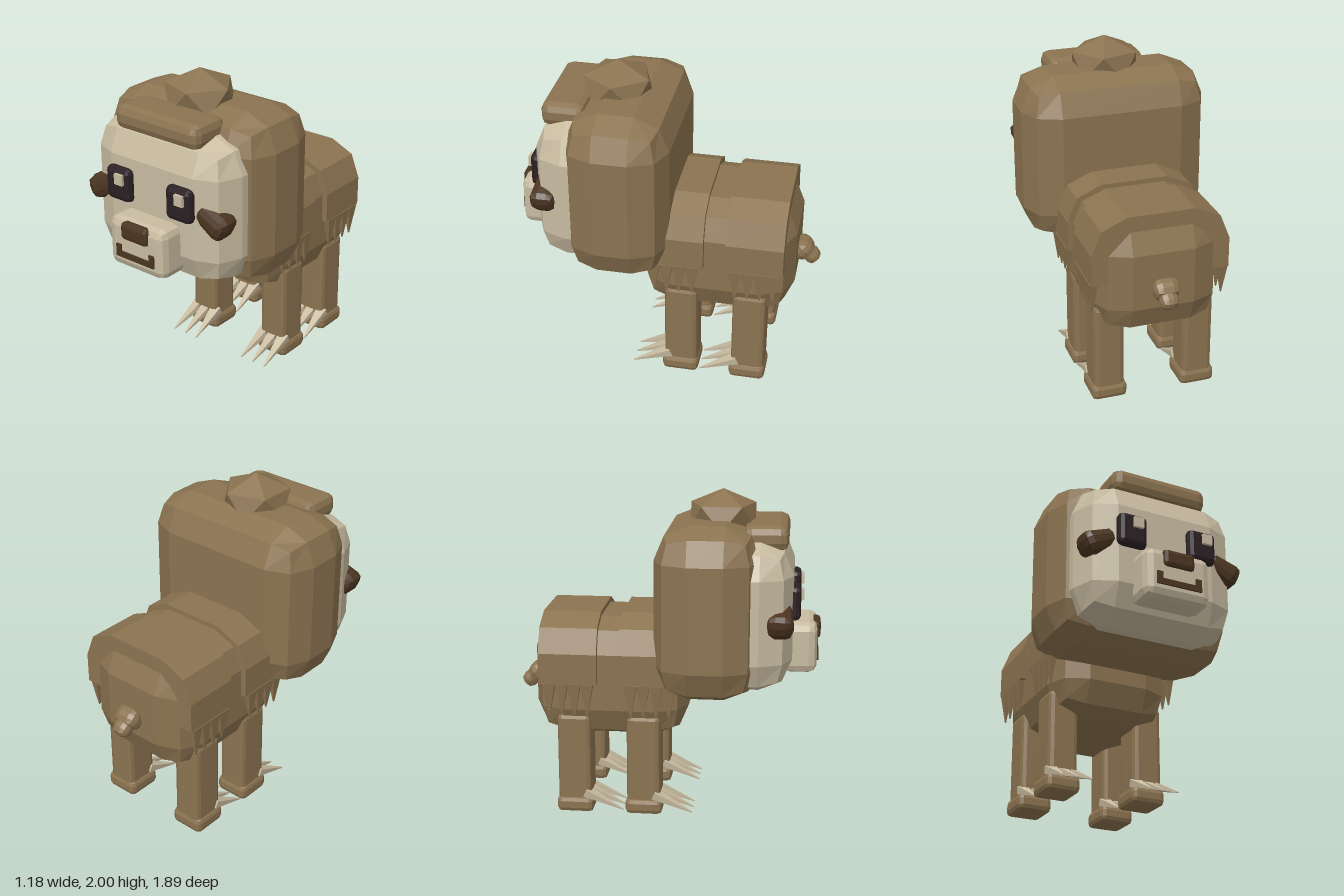
import * as THREE from 'three';
import { RoundedBoxGeometry } from 'three/addons/geometries/RoundedBoxGeometry.js';

const material = (name, color) => {
  const m = new THREE.MeshStandardMaterial({ color });
  m.name = name;
  return m;
};

// Flat-faced box with two-step bevels; taper grows the +x end
function bevelBox(w, h, d, r, taper = 0) {
  const g = new RoundedBoxGeometry(w, h, d, 1, r);
  const p = g.attributes.position;
  for (let i = 0; taper && i < p.count; i++) {
    const s = 1 + taper * p.getX(i) / w;
    p.setY(i, p.getY(i) * s);
    p.setZ(i, p.getZ(i) * s);
  }
  g.computeVertexNormals();
  return g;
}

// Four-sided spike of width w and thickness t, pointing along +y, base at the origin
function spike(w, t, length) {
  const g = new THREE.CylinderGeometry(0.08, Math.SQRT1_2, 1, 4, 1).toNonIndexed();
  g.rotateY(Math.PI / 4).translate(0, 0.5, 0).scale(w, length, t);
  g.computeVertexNormals();
  return g;
}

export function createModel() {
  const root = new THREE.Group();
  root.name = 'sloth';
  const fur = material('brown fur', 0x8b7350);
  const cream = material('cream', 0xc8bba0);
  const dark = material('dark brown', 0x4b3521);
  const black = material('eye black', 0x2b2024);

  const add = (name, geometry, mat, x, y, z) => {
    const m = new THREE.Mesh(geometry, mat);
    m.name = name;
    m.position.set(x, y, z);
    root.add(m);
    return m;
  };
  // Bevelled box from its lower and upper limits on each axis
  const block = (name, mat, [x0, x1], [y0, y1], [z0, z1], r) =>
    add(name, bevelBox(x1 - x0, y1 - y0, z1 - z0, r), mat, (x0 + x1) / 2, (y0 + y1) / 2, (z0 + z1) / 2);

  // Head, face and body
  block('head', fur, [-0.59, 0.59], [0.77, 1.83], [-0.065, 0.57], 0.21);
  block('face', cream, [-0.51, 0.51], [0.82, 1.73], [0.3, 0.765], 0.2);
  block('body', fur, [-0.39, 0.39], [0.48, 1.23], [-0.82, 0.135], 0.2);
  block('fringe', fur, [-0.315, 0.315], [1.67, 1.82], [0.46, 0.73], 0.05);

  // Faceted hair bun, one corner straight up
  const bun = new THREE.IcosahedronGeometry(0.235, 0);
  bun.rotateZ(-Math.atan(2 / (1 + Math.sqrt(5)))).scale(1, 0.7, 1);
  bun.computeVertexNormals();
  add('hairBun', bun, fur, 0, 1.836, 0.322);

  // Muzzle, nose and mouth
  block('muzzle', cream, [-0.213, 0.213], [0.9, 1.215], [0.7, 0.915], 0.05);
  block('nose', dark, [-0.103, 0.103], [1.095, 1.205], [0.86, 0.935], 0.025);
  add('mouth', new THREE.BoxGeometry(0.29, 0.037, 0.02), dark, 0, 0.992, 0.915);

  for (const s of [-1, 1]) {
    add('mouthCorner', new THREE.BoxGeometry(0.037, 0.045, 0.02), dark, s * 0.1265, 1.03, 0.915);

    // Eyes, their glints and the dark flared patches beside them
    block('eye', black, [s * 0.23 - 0.092, s * 0.23 + 0.092], [1.255, 1.465], [0.72, 0.81], 0.03);
    add('eyeGlint', new THREE.BoxGeometry(0.062, 0.066, 0.02), cream, s * 0.23 + 0.025, 1.403, 0.818);
    const patch = add('eyePatch', bevelBox(0.24, 0.14, 0.15, 0.05, 0.3), dark, s * 0.405, 1.285, 0.69);
    patch.rotation.z = s > 0 ? -0.45 : Math.PI + 0.45;
  }

  // Fur bands over the back, with hanging tufts on both sides
  const arch = new THREE.Shape([
    [0.425, 0.85], [0.425, 1.04], [0.365, 1.19], [0.21, 1.26],
    [-0.21, 1.26], [-0.365, 1.19], [-0.425, 1.04], [-0.425, 0.85],
  ].map(([x, y]) => new THREE.Vector2(x, y)));
  for (const [z0, z1, tufts] of [[-0.277, 0.07, -0.088], [-0.765, -0.41, -0.59]]) {
    const band = new THREE.ExtrudeGeometry(arch, { depth: z1 - z0, bevelEnabled: false });
    add('furBand', band, fur, 0, 0, z0);
    for (const s of [-1, 1]) {
      for (let i = 0; i < 4; i++) {
        const tuft = add('furTuft', spike(0.05, 0.08, 0.2), fur, s * 0.405, 0.852, tufts + (i - 1.5) * 0.078);
        tuft.rotation.x = Math.PI;
      }
    }
  }

  // Legs, feet and claws
  const up = new THREE.Vector3(0, 1, 0);
  for (const z of [-0.133, -0.563]) {
    for (const s of [-1, 1]) {
      const x = s * 0.284;
      block('leg', fur, [x - 0.095, x + 0.095], [0.03, 0.645], [z - 0.105, z + 0.105], 0.03);
      block('foot', fur, [x - 0.111, x + 0.111], [0.004, 0.105], [z - 0.114, z + 0.116], 0.03);
      for (const k of [-1, 0, 1]) {
        const dir = new THREE.Vector3(k * 0.02, -0.105, 0.24);
        const claw = add('claw', spike(0.07, 0.05, dir.length()), cream, x + k * 0.072, 0.135, z + 0.066);
        claw.quaternion.setFromUnitVectors(up, dir.normalize());
      }
    }
  }

  // Stubby tail sloping down and back
  const tail = new THREE.Group();
  tail.name = 'tail';
  tail.position.set(0, 0.795, -0.86);
  tail.rotation.x = -0.7;
  const tailBase = new THREE.Mesh(bevelBox(0.155, 0.13, 0.12, 0.045), fur);
  tailBase.name = 'tailBase';
  tailBase.position.z = 0.02;
  const tailTip = new THREE.Mesh(bevelBox(0.11, 0.1, 0.12, 0.04), fur);
  tailTip.name = 'tailTip';
  tailTip.position.z = -0.045;
  tail.add(tailBase, tailTip);
  root.add(tail);

  return root;
}
